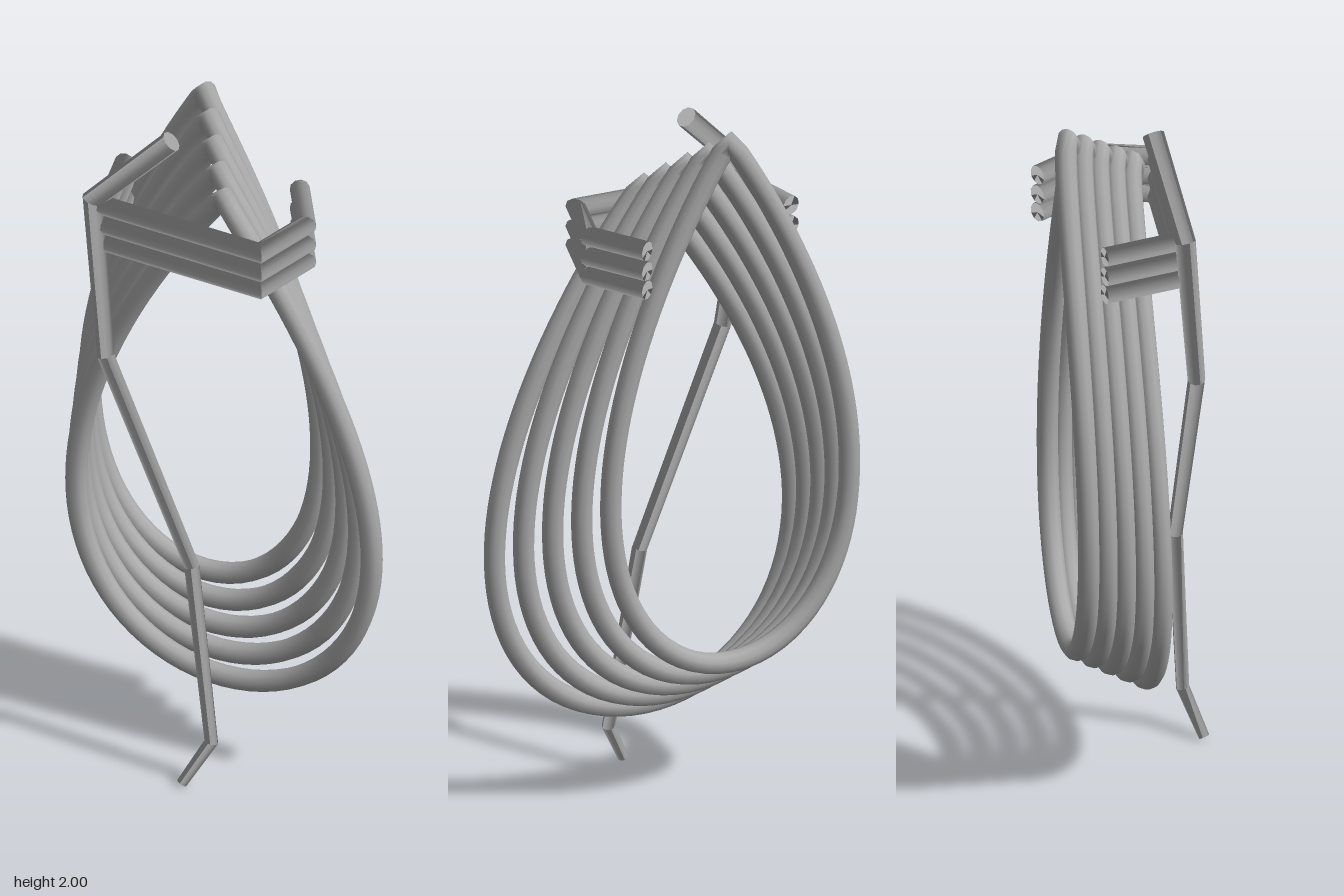
import * as THREE from 'three';

const V = (a) => new THREE.Vector3(...a);

export function createModel() {
  const group = new THREE.Group();
  const rope = new THREE.MeshStandardMaterial({ color: 0xaaaaaa });
  rope.name = 'ropeGrey';

  // Straight rope pieces joined by mitred bends; each point is [x, y, z, radius]
  function bentRope(name, pts) {
    const part = new THREE.Group();
    part.name = name;
    const p = pts.map((q) => V(q.slice(0, 3)));
    const dirs = p.slice(1).map((q, i) => q.clone().sub(p[i]).normalize());
    dirs.forEach((d, i) => {
      const len = p[i].distanceTo(p[i + 1]);
      const geo = new THREE.CylinderGeometry(pts[i + 1][3], pts[i][3], len, 10, 1);
      const turn = new THREE.Quaternion().setFromUnitVectors(V([0, 1, 0]), d);
      const pos = geo.attributes.position;
      for (let k = 0; k < pos.count; k++) {
        const v = new THREE.Vector3().fromBufferAttribute(pos, k);
        const end = v.y > 0 ? i + 1 : i;
        v.y = 0;
        v.applyQuaternion(turn);
        const n = d.clone().add(dirs[v.y === undefined ? i : end === i ? i - 1 : i + 1] || d).normalize();
        v.addScaledVector(d, -v.dot(n) / d.dot(n)).add(p[end]);
        pos.setXYZ(k, v.x, v.y, v.z);
      }
      const mesh = new THREE.Mesh(geo, rope);
      mesh.name = `${name}Piece${i + 1}`;
      part.add(mesh);
    });
    group.add(part);
  }

  // Five teardrop loops, stepping forward, down and wider
  for (let i = 0; i < 5; i++) {
    const f = i / 4;
    const cx = -0.118 + 0.143 * f;
    const w = 0.352 + 0.093 * f;
    const top = 1.97 - 0.175 * f;
    const cz = -0.175 + 0.217 * f;
    const pts = [];
    for (let k = 0; k < 32; k++) {
      const t = (k / 32) * Math.PI * 2;
      pts.push(new THREE.Vector3(
        cx + (w / 0.77) * Math.sin(t) * Math.sin(t / 2),
        top - 1.54 * Math.sin(t / 2) ** 2,
        cz + 0.038 * Math.sin(t)));
    }
    const curve = new THREE.CatmullRomCurve3(pts, true, 'catmullrom', 0.5);
    const loop = new THREE.Mesh(new THREE.TubeGeometry(curve, 96, 0.03, 10, true), rope);
    loop.name = `coilLoop${i + 1}`;
    group.add(loop);
  }

  // Three binding turns around the neck of the coil
  [1.715, 1.655, 1.6].forEach((y, i) => {
    bentRope(`bindingTurn${i + 1}`, [
      [-0.335, y, -0.13], [-0.3, y, 0.092], [0.172, y, 0.147], [0.235, y, -0.028], [0.15, y, -0.19],
    ].map((q) => [...q, 0.027]));
  });

  // Loose tail, tapering to its hanging end
  bentRope('looseTail', [
    [-0.12, 1.95, 0.062, 0.03], [-0.335, 1.73, 0.095, 0.028], [-0.28, 1.27, 0.14, 0.024],
    [-0.025, 0.66, 0.148, 0.021], [0.048, 0.135, 0.188, 0.018], [-0.02, 0.012, 0.23, 0.015],
  ]);

  return group;
}
